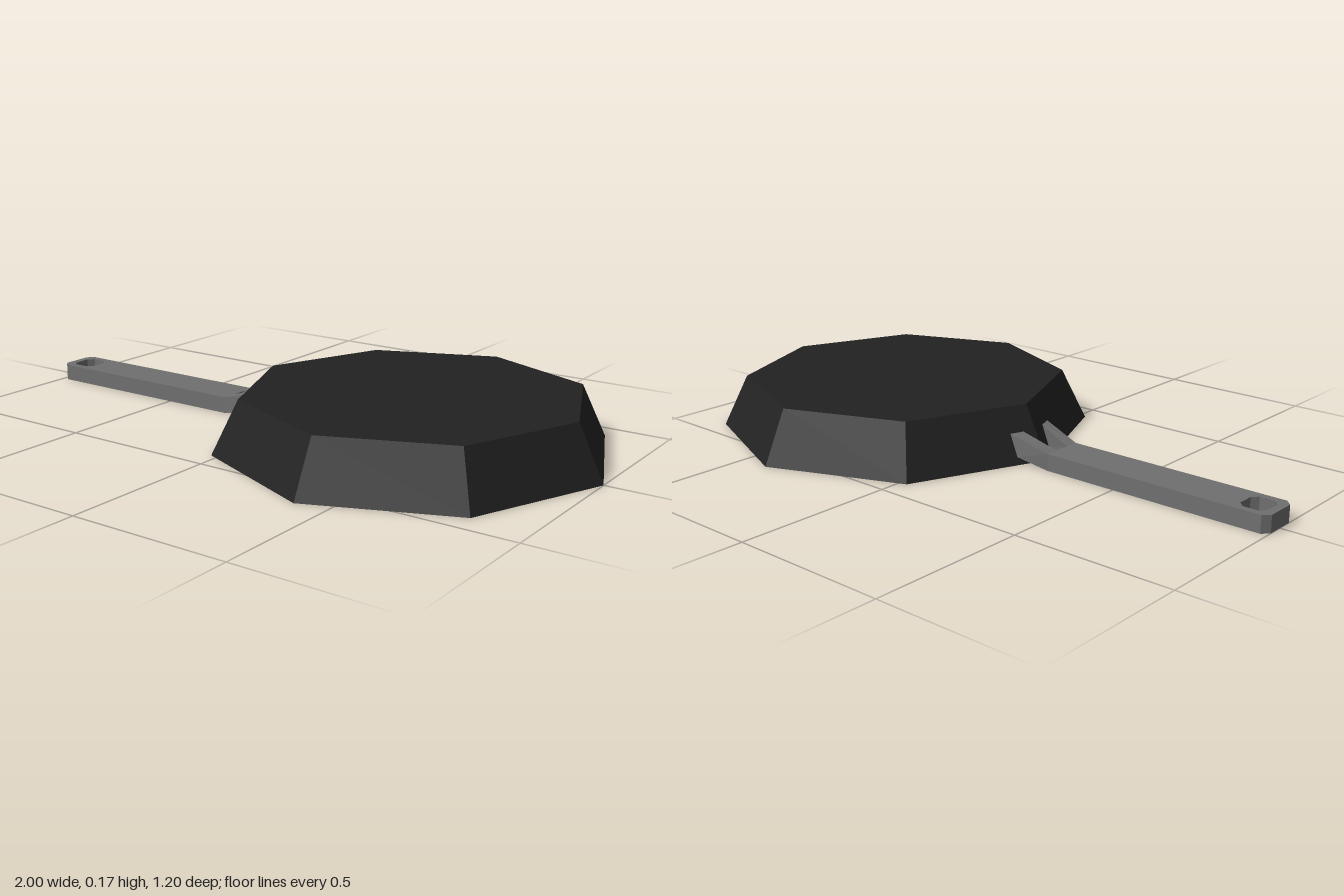
import * as THREE from 'three';

const panBlack = new THREE.MeshStandardMaterial({ color: 0x222222 });
panBlack.name = 'panBlack';
const handleGrey = new THREE.MeshStandardMaterial({ color: 0x707070 });
handleGrey.name = 'handleGrey';

// Faceted mesh with one normal per face
function facetedMesh(geometry, material, name) {
  const flat = geometry.index ? geometry.toNonIndexed() : geometry;
  flat.computeVertexNormals();
  const mesh = new THREE.Mesh(flat, material);
  mesh.name = name;
  return mesh;
}

const points = (list) => list.map(([x, y]) => new THREE.Vector2(x, y));

export function createModel() {
  const model = new THREE.Group();
  model.name = 'upturnedPan';

  // Octagonal pan lying face down: hollow underside, rim, sloped wall, flat base
  const profile = points([[0, 0.12], [0.485, 0.12], [0.555, 0], [0.6, 0], [0.52, 0.165], [0, 0.165]]);
  const pan = facetedMesh(new THREE.LatheGeometry(profile, 8), panBlack, 'pan');
  pan.position.x = 0.4;
  model.add(pan);

  const handle = new THREE.Group();
  handle.name = 'handle';
  model.add(handle);

  // Flat grip with clipped end corners and a hanging hole
  const w = 0.068;
  const outline = new THREE.Shape(points([
    [-0.26, -w], [-0.26, w], [-0.98, w], [-1, w - 0.02], [-1, 0.02 - w], [-0.98, -w],
  ]));
  const [x0, x1, h, c] = [-0.975, -0.892, 0.045, 0.018];
  outline.holes.push(new THREE.Path(points([
    [x0 + c, -h], [x1 - c, -h], [x1, c - h], [x1, h - c],
    [x1 - c, h], [x0 + c, h], [x0, h - c], [x0, c - h],
  ])));
  const grip = new THREE.ExtrudeGeometry(outline, { depth: 0.053, bevelEnabled: false });
  grip.rotateX(-Math.PI / 2);
  handle.add(facetedMesh(grip, handleGrey, 'grip'));

  // Two prongs rising and spreading from the grip to the pan wall
  for (const side of [-1, 1]) {
    const prong = new THREE.BoxGeometry(1, 1, 1);
    const p = prong.attributes.position;
    for (let i = 0; i < p.count; i++) {
      const atPan = p.getX(i) > 0;
      const top = p.getY(i) > 0;
      const outer = p.getZ(i) * side > 0;
      if (atPan) {
        p.setXYZ(i, (top ? -0.132 : -0.16) - (outer ? 0 : 0.015), top ? 0.093 : 0.025, side * (outer ? 0.088 : 0.045));
      } else {
        p.setXYZ(i, -0.26, top ? 0.053 : 0, side * (outer ? w : 0.025));
      }
    }
    handle.add(facetedMesh(prong, handleGrey, side > 0 ? 'frontProng' : 'backProng'));
  }

  return model;
}
